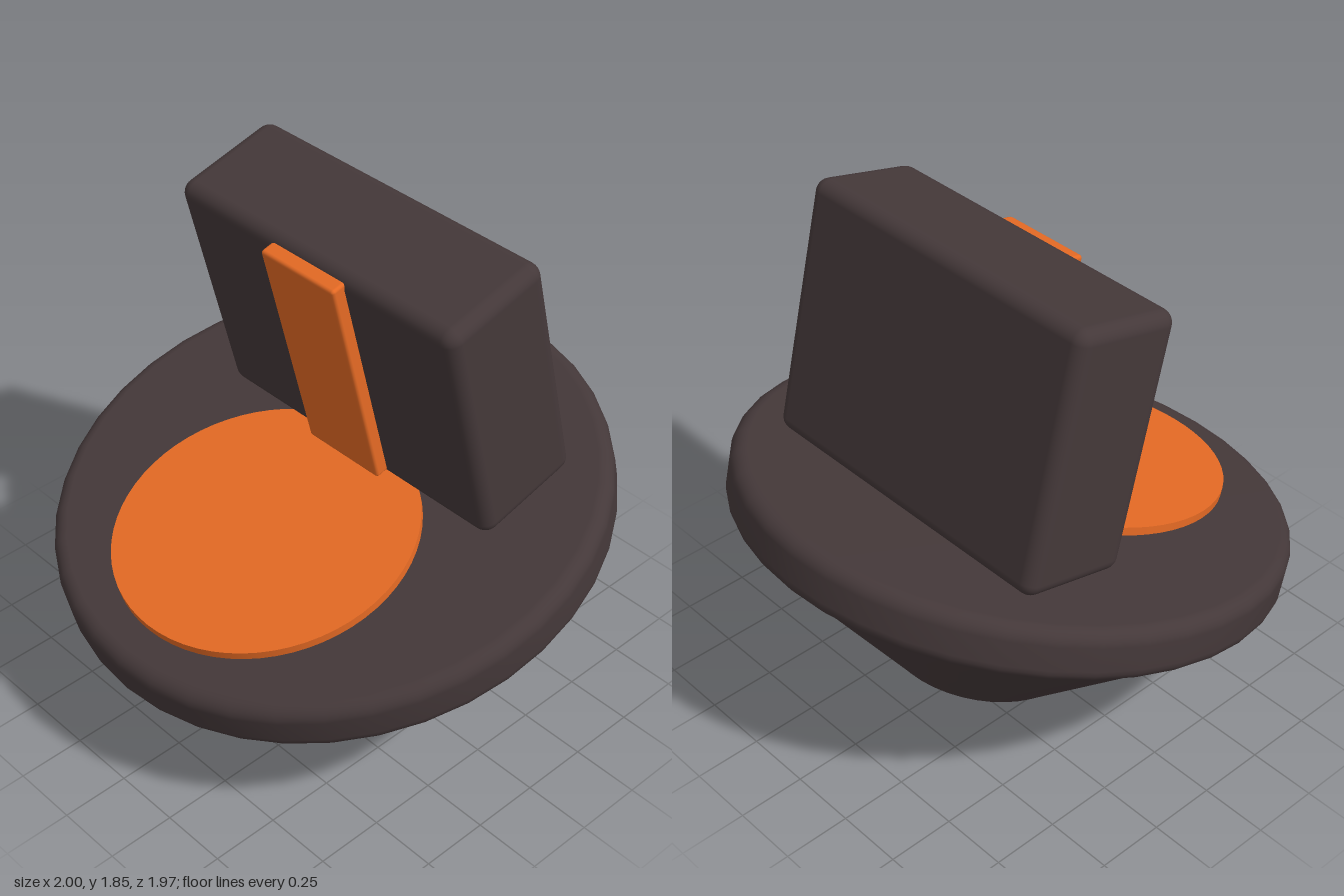
import * as THREE from 'three';
import { RoundedBoxGeometry } from 'three/addons/geometries/RoundedBoxGeometry.js';

const SIDES = 40;

export function createModel() {
  const dark = new THREE.MeshStandardMaterial({ color: 0x443839 });
  dark.name = 'dark brown';
  const orange = new THREE.MeshStandardMaterial({ color: 0xe56a24 });
  orange.name = 'orange';

  const model = new THREE.Group();
  model.name = 'model';

  // Everything shares one forward tilt
  const body = new THREE.Group();
  body.name = 'tiltedBody';
  body.position.y = 0.707;
  body.rotation.x = THREE.MathUtils.degToRad(14);
  model.add(body);

  const add = (name, geometry, material, x, y, z) => {
    const mesh = new THREE.Mesh(geometry, material);
    mesh.name = name;
    mesh.position.set(x, y, z);
    body.add(mesh);
    return mesh;
  };

  // Points of a rounded corner between two angles, in degrees
  const arc = (cx, cy, r, from, to, steps = 5) =>
    Array.from({ length: steps + 1 }, (_, i) => {
      const a = THREE.MathUtils.degToRad(from + ((to - from) * i) / steps);
      return new THREE.Vector2(cx + r * Math.cos(a), cy + r * Math.sin(a));
    });
  const axis = (y) => new THREE.Vector2(0, y);

  // Round disc with a soft rim
  const discProfile = [
    axis(-0.1),
    ...arc(0.945, -0.045, 0.055, -90, 0),
    ...arc(0.945, 0.045, 0.055, 0, 90),
    axis(0.1),
  ];
  add('disc', new THREE.LatheGeometry(discProfile, SIDES), dark, 0, 0, 0);

  // Cone below the disc, with a softened foot
  const coneProfile = [
    axis(-0.655),
    ...arc(0.29, -0.575, 0.08, -90, -41),
    new THREE.Vector2(0.95, -0.1),
    new THREE.Vector2(0.945, -0.08),
  ];
  add('cone', new THREE.LatheGeometry(coneProfile, SIDES), dark, 0, 0, 0);

  // Round plate set on the front of the disc
  add('plate', new THREE.CylinderGeometry(0.545, 0.545, 0.06, 64), orange, 0, 0.101, 0.298);

  // Upright block and the strip down its front
  add('block', new RoundedBoxGeometry(1.29, 0.945, 0.432, 4, 0.05), dark, 0, 0.577, -0.352);
  add('strip', new RoundedBoxGeometry(0.344, 0.89, 0.06, 2, 0.012), orange, 0, 0.585, -0.118);

  return model;
}
